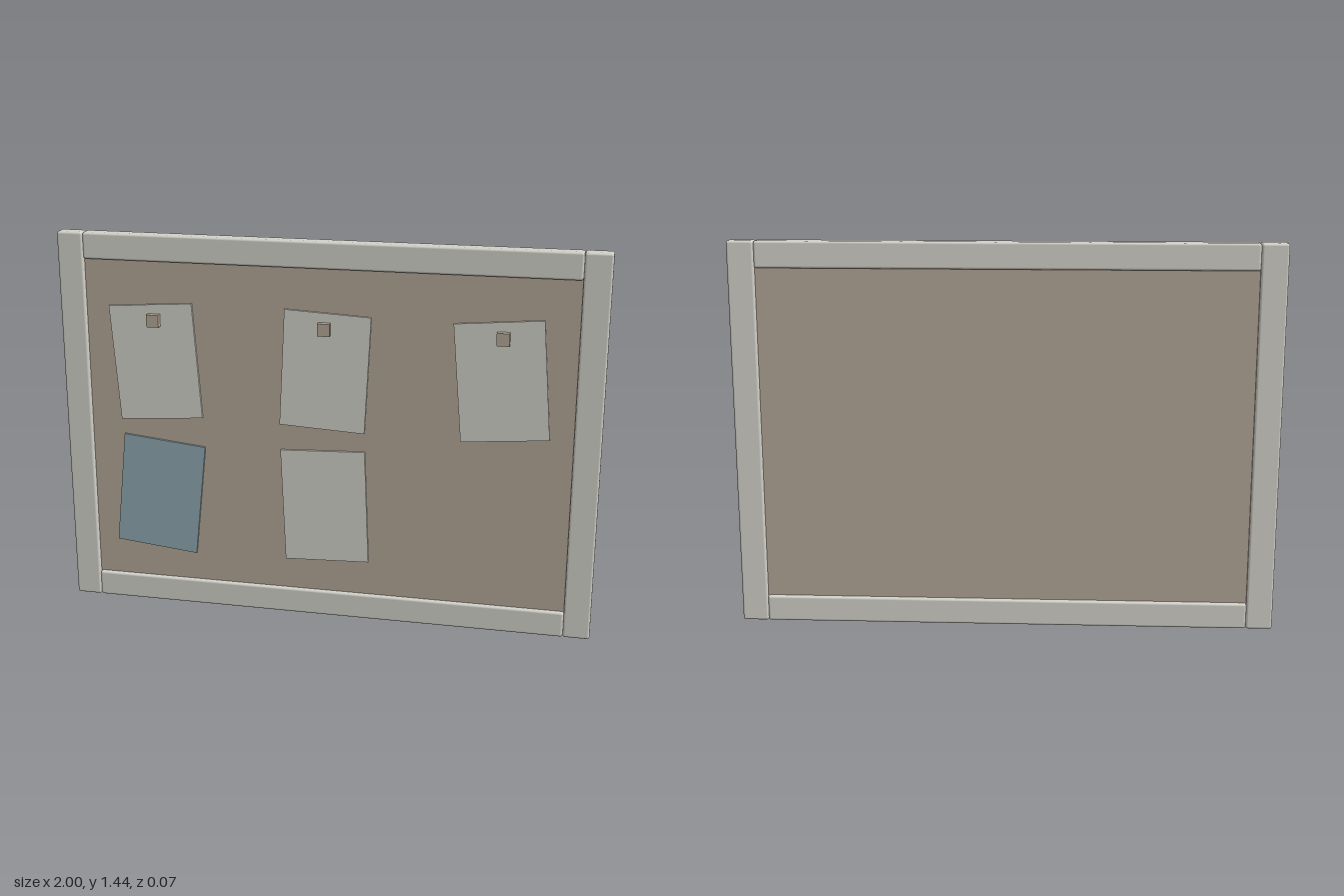
import * as THREE from 'three';
import { RoundedBoxGeometry } from 'three/addons/geometries/RoundedBoxGeometry.js';

const material = (name, color) => {
  const m = new THREE.MeshStandardMaterial({ color });
  m.name = name;
  return m;
};

export function createModel() {
  const group = new THREE.Group();
  group.name = 'noticeBoard';
  const paleGrey = material('paleGrey', 0xd3d2ca);
  const cork = material('cork', 0xb4a798);
  const blue = material('blue', 0x90a9b2);

  const add = (name, geometry, mat, x, y, z, turn = 0) => {
    const mesh = new THREE.Mesh(geometry, mat);
    mesh.name = name;
    mesh.position.set(x, y, z);
    mesh.rotation.z = turn;
    group.add(mesh);
  };

  // Frame: two full-height posts with rails between them
  const height = 1.44, bar = 0.098, depth = 0.058, frameZ = -0.006;
  const post = new RoundedBoxGeometry(bar, height, depth, 2, 0.009);
  const rail = new RoundedBoxGeometry(1.804, bar, depth, 2, 0.009);
  add('leftPost', post, paleGrey, 1 - bar / 2, height / 2, frameZ);
  add('rightPost', post, paleGrey, -1 + bar / 2, height / 2, frameZ);
  add('topRail', rail, paleGrey, 0, height - bar / 2, frameZ);
  add('bottomRail', rail, paleGrey, 0, bar / 2, frameZ);

  // Cork panel, recessed on both faces
  add('corkPanel', new THREE.BoxGeometry(1.84, 1.28, 0.026), cork, 0, height / 2, frameZ);

  // Pinned sheets: x, y, tilt, material
  const sheet = new THREE.BoxGeometry(0.318, 0.436, 0.009);
  [
    [-0.64, 0.964, 0.07, paleGrey],
    [0, 0.964, -0.05, paleGrey],
    [0.64, 0.964, 0.085, paleGrey],
    [-0.64, 0.442, -0.105, blue],
    [0, 0.443, 0.04, paleGrey],
  ].forEach(([x, y, tilt, mat]) => add('paperSheet', sheet, mat, x, y, 0.0115, tilt));

  // Square pins on the upper row
  const pin = new THREE.BoxGeometry(0.046, 0.046, 0.025);
  for (const x of [-0.64, 0, 0.64]) add('pin', pin, cork, x, 1.125, 0.0265);

  return group;
}
